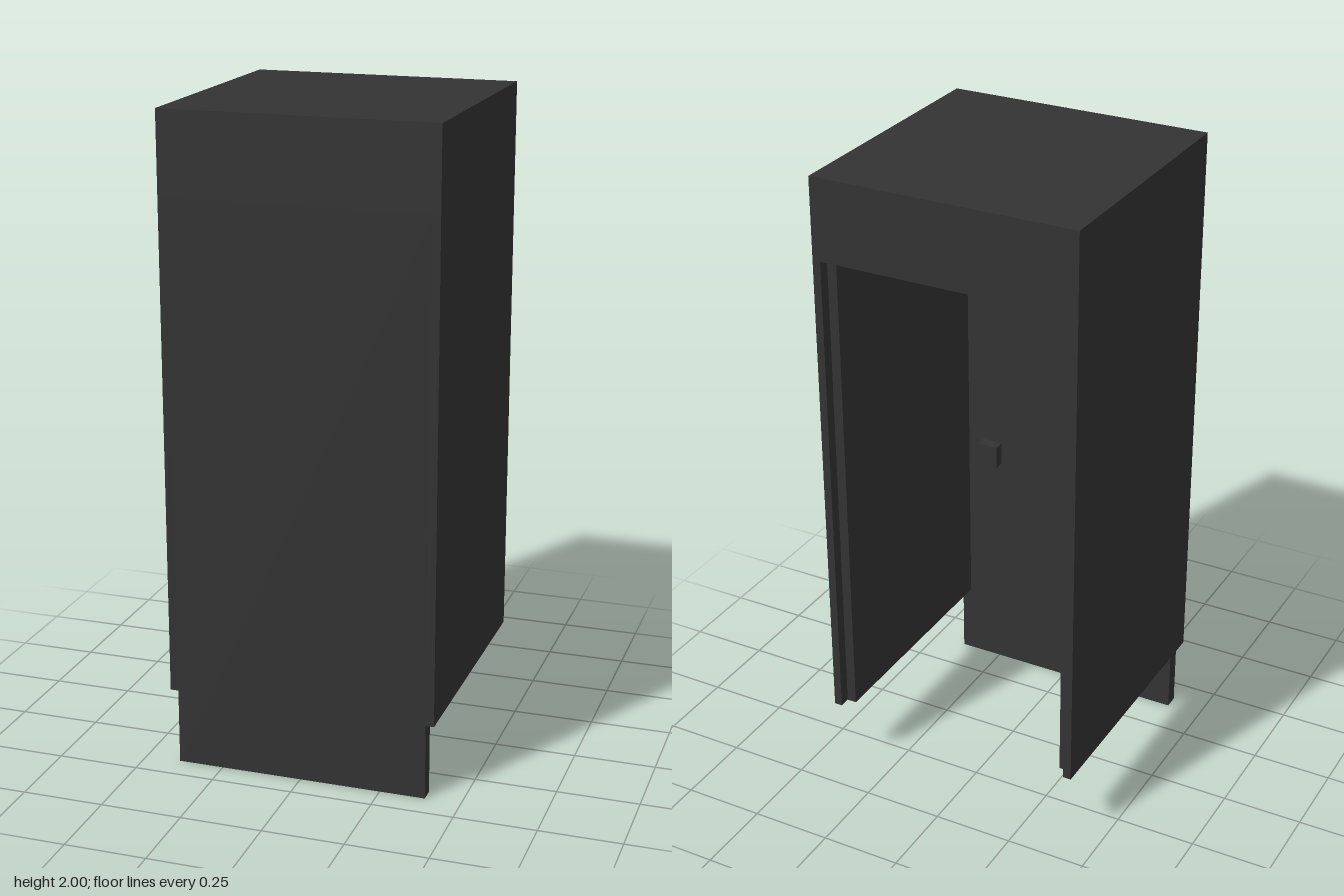
import * as THREE from 'three';

export function createModel() {
  const model = new THREE.Group();
  model.name = 'booth';
  const charcoal = new THREE.MeshStandardMaterial({ color: 0x333333 });
  charcoal.name = 'charcoal';

  // Box given by its minimum and maximum corners
  function box(name, [x0, y0, z0], [x1, y1, z1]) {
    const mesh = new THREE.Mesh(new THREE.BoxGeometry(x1 - x0, y1 - y0, z1 - z0), charcoal);
    mesh.name = name;
    mesh.position.set((x0 + x1) / 2, (y0 + y1) / 2, (z0 + z1) / 2);
    model.add(mesh);
  }

  const H = 0.415;      // half width and depth
  const SKIN = 0.39;    // inner face of the outer side panels
  const LINING = 0.36;  // inner face of the side linings
  const BASE = 0.235;   // bottom of the side walls
  const CEILING = 1.75;
  const FRONT = 0.37;   // inner face of the front panel

  // Thick roof, whose rear edge is the lintel
  box('roof', [-H, CEILING, -H], [H, 2, H]);

  // Side walls: outer skin and a lining set back at the rear opening
  for (const [side, s] of [['left', 1], ['right', -1]]) {
    const span = (a, b) => [Math.min(s * a, s * b), Math.max(s * a, s * b)];
    const [a, b] = span(SKIN, H);
    box(side + 'OuterPanel', [a, BASE, -H], [b, CEILING, H]);
    const [c, d] = span(LINING, SKIN);
    box(side + 'Lining', [c, BASE, -0.38], [d, CEILING, FRONT]);
  }

  // Front panel reaching down to the ground
  box('frontPanel', [-SKIN, 0, FRONT], [SKIN, CEILING, H]);

  // Fittings on the inside of the front panel
  box('innerPlate', [-0.235, 1.02, FRONT - 0.008], [0.235, 1.6, FRONT]);
  box('innerKnob', [0.24, 0.76, FRONT - 0.035], [0.308, 0.835, FRONT]);

  return model;
}
